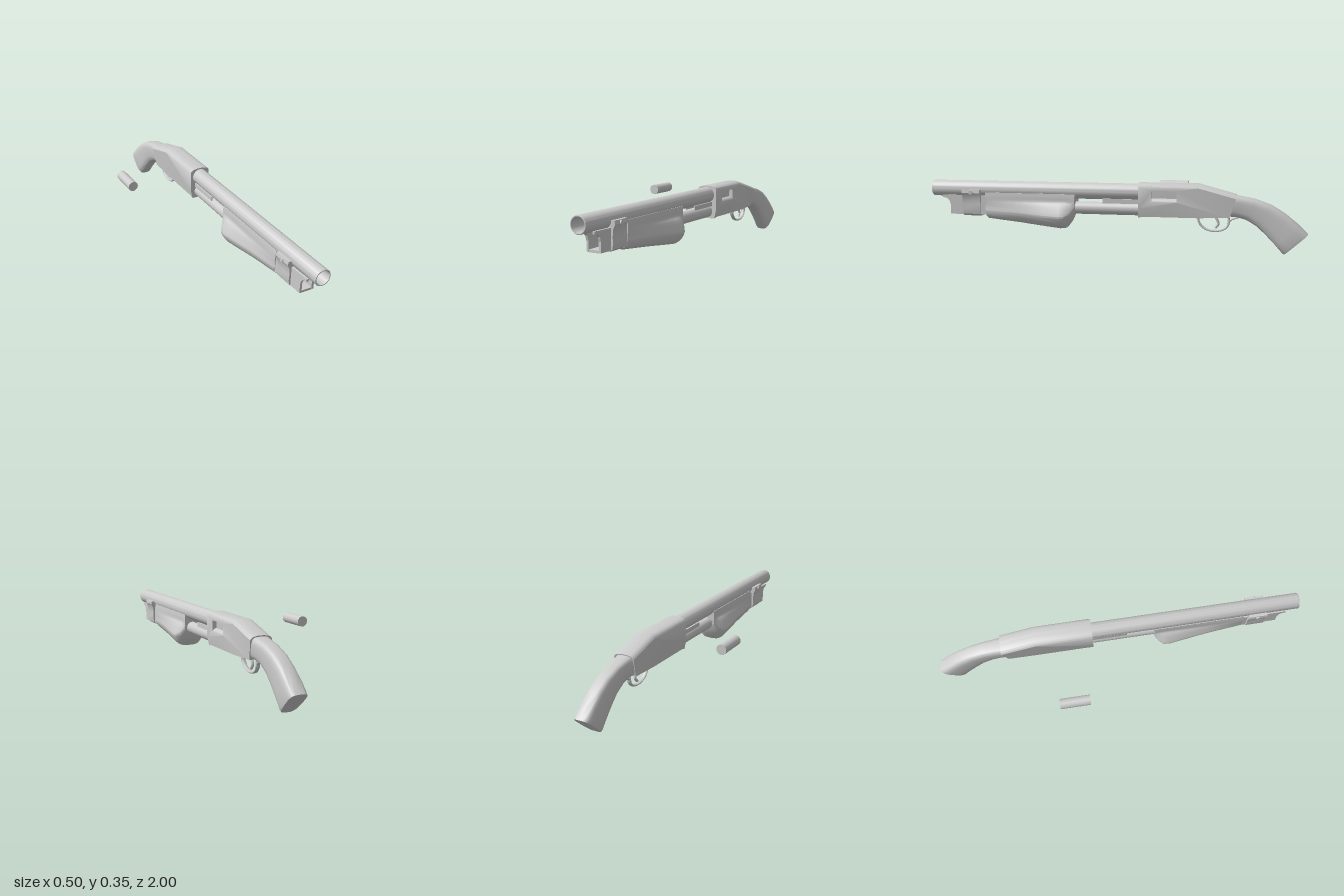
import * as THREE from 'three';
import { toCreasedNormals } from 'three/addons/utils/BufferGeometryUtils.js';

const material = new THREE.MeshStandardMaterial({ color: 0xcccccc });
const doubleSided = new THREE.MeshStandardMaterial({ color: 0xcccccc, side: THREE.DoubleSide });

function add(parent, name, geometry, mat = material) {
  const mesh = new THREE.Mesh(geometry, mat);
  mesh.name = name;
  parent.add(mesh);
  return mesh;
}

// Side profile given as [z, y] points, extruded across x from x0 to x1
function sideExtrude(points, x0, x1, holes = [], steps = 1) {
  const toShape = (p) => p.map(([z, y]) => new THREE.Vector2(-z, y));
  const shape = new THREE.Shape(toShape(points));
  shape.holes = holes.map((h) => new THREE.Path(toShape(h)));
  const g = new THREE.ExtrudeGeometry(shape, { depth: x1 - x0, steps, bevelEnabled: false });
  return g.rotateY(Math.PI / 2).translate(x0, 0, 0);
}

// Skin over closed rings ordered from front (+z) to back, with both ends capped
function loft(rings) {
  const n = rings[0].length;
  const pos = [];
  const idx = [];
  rings.forEach((r) => r.forEach((p) => pos.push(p.x, p.y, p.z)));
  for (let s = 0; s < rings.length - 1; s++) {
    for (let i = 0; i < n; i++) {
      const a = s * n + i, b = s * n + ((i + 1) % n);
      idx.push(a, a + n, b, b, a + n, b + n);
    }
  }
  [0, rings.length - 1].forEach((s, end) => {
    const c = new THREE.Vector3();
    rings[s].forEach((p) => c.addScaledVector(p, 1 / n));
    const ci = pos.length / 3;
    pos.push(c.x, c.y, c.z);
    for (let i = 0; i < n; i++) {
      const a = s * n + i, b = s * n + ((i + 1) % n);
      if (end) idx.push(ci, b, a);
      else idx.push(ci, a, b);
    }
  });
  const g = new THREE.BufferGeometry();
  g.setAttribute('position', new THREE.Float32BufferAttribute(pos, 3));
  g.setIndex(idx);
  return toCreasedNormals(g, 0.6);
}

function tubeAlongZ(radius, z0, z1, y) {
  return new THREE.CylinderGeometry(radius, radius, z1 - z0, 32)
    .rotateX(Math.PI / 2).translate(0, y, (z0 + z1) / 2);
}

// Flattened strip following [z, y] points
function strip(points, radius, widen) {
  const curve = new THREE.CatmullRomCurve3(points.map(([z, y]) => new THREE.Vector3(0, y, z)));
  return new THREE.TubeGeometry(curve, 32, radius, 8).scale(widen, 1, 1);
}

// Receiver layers share one rule: crowned top, narrower belly
function shapeReceiver(g) {
  const p = g.attributes.position;
  for (let i = 0; i < p.count; i++) {
    const x = p.getX(i), y = p.getY(i);
    const t = Math.abs(x) / 0.057;
    if (y > 0.2) p.setY(i, y - 0.009 * t * t - 0.011 * t ** 8);
    p.setX(i, x * (1 - 0.2 * (1 - THREE.MathUtils.smoothstep(y, 0.17, 0.24))));
  }
  return toCreasedNormals(g, 0.6);
}

function buildReceiver(gun) {
  const top = [[-0.61, 0.185], [-0.638, 0.302], [-0.45, 0.352], [-0.14, 0.352], [-0.14, 0.24], [-0.14, 0.172]];
  const solid = [...top, [-0.165, 0.178], [-0.45, 0.178]];
  const notched = [...top, [-0.165, 0.178], [-0.17, 0.205], [-0.4, 0.205], [-0.43, 0.178]];
  const port = [[-0.21, 0.277], [-0.21, 0.327], [-0.215, 0.335], [-0.335, 0.335], [-0.34, 0.327], [-0.34, 0.277]];
  const receiver = new THREE.Group();
  receiver.name = 'receiver';
  gun.add(receiver);
  add(receiver, 'receiverLeftPlate', shapeReceiver(sideExtrude(solid, 0.035, 0.057, [port], 5)));
  add(receiver, 'receiverCore', shapeReceiver(sideExtrude(notched, -0.035, 0.035, [], 8)));
  add(receiver, 'receiverRightPlate', shapeReceiver(sideExtrude(solid, -0.057, -0.035, [], 5)));
}

function buildGrip(gun) {
  // top z, top y, bottom z, bottom y, half width
  const stations = [
    [-0.625, 0.298, -0.598, 0.187, 0.052], [-0.68, 0.289, -0.645, 0.184, 0.049],
    [-0.74, 0.277, -0.69, 0.172, 0.047], [-0.82, 0.248, -0.745, 0.14, 0.047],
    [-0.885, 0.208, -0.795, 0.092, 0.048], [-0.945, 0.16, -0.84, 0.045, 0.05],
    [-0.985, 0.121, -0.872, 0.008, 0.051], [-1.0, 0.108, -0.882, 0.0, 0.048],
  ];
  const rings = stations.map(([tz, ty, bz, by, w]) => Array.from({ length: 32 }, (_, i) => {
    const a = (i / 32) * Math.PI * 2;
    const c = Math.cos(a), s = Math.sin(a);
    const v = 0.5 + 0.5 * Math.sign(s) * Math.abs(s) ** 0.6;
    const x = Math.sign(c) * Math.abs(c) ** 0.55 * w * (0.86 + 0.14 * v);
    return new THREE.Vector3(x, by + (ty - by) * v, bz + (tz - bz) * v);
  }));
  add(gun, 'grip', loft(rings));
}

function buildForend(gun) {
  // z, half width, height of widest point, bottom
  const stations = [
    [0.695, 0.042, 0.195, 0.15], [0.685, 0.048, 0.19, 0.142], [0.5, 0.062, 0.18, 0.124],
    [0.36, 0.077, 0.168, 0.108], [0.28, 0.087, 0.165, 0.1], [0.25, 0.085, 0.167, 0.103],
    [0.225, 0.068, 0.18, 0.135], [0.2, 0.045, 0.215, 0.187],
  ];
  const rings = stations.map(([z, w, yw, yb]) => {
    const side = [
      [0, yb], [w * 0.5, yb + 0.004], [w * 0.8, yb + (yw - yb) * 0.4], [w * 0.98, yw - 0.008], [w, yw],
      [w * 0.96, yw + 0.012], [0.045 + (w - 0.045) * 0.35, 0.225], [0.046, 0.24], [0.045, 0.265], [0.043, 0.285],
    ];
    const curve = new THREE.CatmullRomCurve3(side.map(([x, y]) => new THREE.Vector3(x, y, z)));
    const half = curve.getPoints(24);
    const mirrored = half.slice(1).reverse().map((p) => new THREE.Vector3(-p.x, p.y, p.z));
    return [...half, ...mirrored];
  });
  add(gun, 'forend', loft(rings));
}

function buildBand(gun) {
  // Clamp hugging the underside of the barrel
  const side = [[0.06, 0.3], [0.063, 0.282], [0.053, 0.262], [0.049, 0.225], [0.051, 0.195], [0.046, 0.168], [0.03, 0.157]];
  const s = new THREE.Shape();
  s.moveTo(0.041, 0.3);
  side.slice().forEach(([x, y]) => s.lineTo(x, y));
  side.slice().reverse().forEach(([x, y]) => s.lineTo(-x, y));
  s.lineTo(-0.041, 0.3);
  s.absarc(0, 0.3, 0.041, Math.PI, Math.PI * 2, false);
  const g = new THREE.ExtrudeGeometry(s, { depth: 0.1, bevelEnabled: false, curveSegments: 24 });
  add(gun, 'barrelBand', toCreasedNormals(g.translate(0, 0, 0.72), 0.6));
  for (const m of [-1, 1]) {
    const screw = new THREE.CylinderGeometry(0.011, 0.013, 0.012, 16).rotateZ(-m * Math.PI / 2);
    add(gun, 'bandScrew', screw.translate(m * 0.061, 0.285, 0.77));
  }

  // Open-fronted lug below the muzzle
  const cheek = [[0.69, 0.265], [0.69, 0.165], [0.893, 0.165], [0.893, 0.215], [0.9, 0.238], [0.913, 0.25], [0.937, 0.255], [0.937, 0.268]];
  for (const m of [-1, 1]) {
    add(gun, 'lugCheek', sideExtrude(cheek, m * 0.034 - 0.006, m * 0.034 + 0.006));
  }
  add(gun, 'lugFloor', new THREE.BoxGeometry(0.062, 0.012, 0.2).translate(0, 0.169, 0.792));
  add(gun, 'lugCore', new THREE.BoxGeometry(0.06, 0.09, 0.13).translate(0, 0.22, 0.755));
}

function buildTriggerGroup(gun) {
  const guard = [[-0.445, 0.19], [-0.452, 0.15], [-0.485, 0.118], [-0.54, 0.108], [-0.585, 0.122], [-0.603, 0.148], [-0.6, 0.195]];
  add(gun, 'triggerGuard', strip(guard, 0.006, 2));
  const trigger = [[-0.53, 0.19], [-0.545, 0.165], [-0.55, 0.145], [-0.535, 0.124]];
  add(gun, 'trigger', strip(trigger, 0.007, 1.1));
  const tang = [[-0.595, 0.145], [-0.615, 0.168], [-0.65, 0.182]];
  add(gun, 'guardTang', strip(tang, 0.005, 2));
}

export function createModel() {
  const model = new THREE.Group();
  const gun = new THREE.Group();
  gun.name = 'shortShotgun';
  gun.position.x = 0.161;
  model.add(gun);

  // Hollow barrel: outer wall, muzzle lip, tapered bore and its floor
  const profile = [[0.043, -0.16], [0.043, 0.997], [0.041, 1], [0.037, 1], [0.036, 0.99], [0.028, 0.71], [0, 0.71]];
  const barrel = new THREE.LatheGeometry(profile.map(([r, z]) => new THREE.Vector2(r, z)), 40);
  add(gun, 'barrel', toCreasedNormals(barrel.rotateX(Math.PI / 2).translate(0, 0.302, 0), 0.6), doubleSided);

  add(gun, 'magazineTube', tubeAlongZ(0.033, -0.16, 0.72, 0.211));
  for (const m of [-1, 1]) {
    add(gun, 'actionBar', new THREE.BoxGeometry(0.008, 0.024, 0.22).translate(m * 0.028, 0.253, -0.06));
  }

  buildReceiver(gun);
  buildGrip(gun);
  buildForend(gun);
  buildBand(gun);
  buildTriggerGroup(gun);

  // Loose cartridge beside the gun
  const shell = add(model, 'cartridge', tubeAlongZ(0.027, -0.36, -0.2, 0.3));
  shell.position.x = -0.223;
  return model;
}
